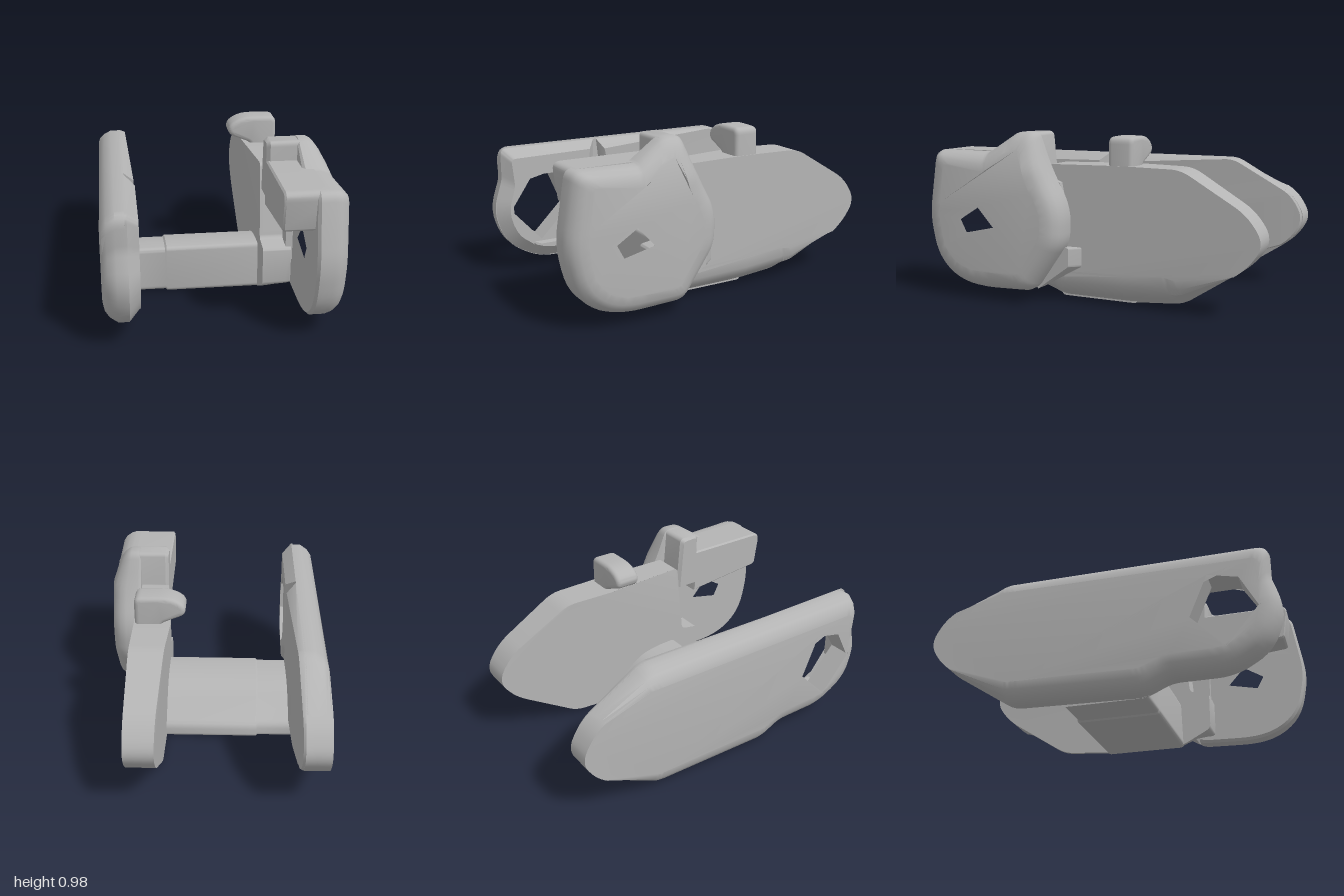
import * as THREE from 'three';
import { toCreasedNormals } from 'three/addons/utils/BufferGeometryUtils.js';

const clamp = THREE.MathUtils.clamp;

// Closed polygon of [a, b, radius] corners, rounded with curves
function roundedShape(points) {
  const shape = new THREE.Shape();
  const n = points.length;
  points.forEach(([a, b, r = 0], i) => {
    const p = new THREE.Vector2(a, b);
    const prev = new THREE.Vector2(...points[(i + n - 1) % n].slice(0, 2));
    const next = new THREE.Vector2(...points[(i + 1) % n].slice(0, 2));
    const cut = (q) => p.clone().lerp(q, Math.min(0.48, r / p.distanceTo(q)));
    const s = cut(prev), e = cut(next);
    if (i === 0) shape.moveTo(s.x, s.y); else shape.lineTo(s.x, s.y);
    if (r > 0) shape.quadraticCurveTo(p.x, p.y, e.x, e.y);
  });
  shape.closePath();
  return shape;
}

// Slab across x: outline in (z, y), layers of [x, inset] and an optional bending rule
function slab(outline, layers, { hole, bend, amount = () => 1 } = {}) {
  const flip = (pts) => pts.map(([z, y, r]) => [-z, y, r]);
  const shape = roundedShape(flip(outline));
  if (hole) shape.holes.push(new THREE.Path(hole.map(([z, y]) => new THREE.Vector2(-z, y))));
  const steps = layers.length - 1;
  const geo = new THREE.ExtrudeGeometry(shape, { depth: steps, steps, bevelEnabled: false, curveSegments: 6 });
  geo.rotateY(Math.PI / 2);

  const box = new THREE.Box2().setFromPoints(outline.map(([z, y]) => new THREE.Vector2(z, y)));
  const mid = box.getCenter(new THREE.Vector2());
  const size = box.getSize(new THREE.Vector2());
  const onHole = (z, y) => hole && hole.some(([a, b]) => Math.hypot(a - z, b - y) < 1e-4);
  const pos = geo.attributes.position;
  const v = new THREE.Vector3();
  for (let i = 0; i < pos.count; i++) {
    v.fromBufferAttribute(pos, i);
    const layer = Math.round(v.x);
    const [x, inset] = layers[layer];
    v.x = x;
    if (!onHole(v.z, v.y)) {
      const d = new THREE.Vector2((v.z - mid.x) / size.x ** 2, (v.y - mid.y) / size.y ** 2).normalize();
      const k = inset * amount(v.z, v.y);
      v.z -= d.x * k;
      v.y -= d.y * k;
    }
    if (bend) bend(v, layer);
    pos.setXYZ(i, v.x, v.y, v.z);
  }
  return toCreasedNormals(geo, 0.6);
}

export function createModel() {
  const model = new THREE.Group();
  const grey = new THREE.MeshStandardMaterial({ color: 0xb4b4b4 });
  grey.name = 'plain grey';
  const add = (name, geo) => {
    const mesh = new THREE.Mesh(geo, grey);
    mesh.name = name;
    model.add(mesh);
  };

  // Long side plate with its eye at the front
  const eye = [[0.61, 0.62], [0.78, 0.58], [0.89, 0.4], [0.7, 0.19], [0.51, 0.38]];
  add('longPlate', slab([
    [0.94, 0.79, 0.07], [0.94, 0.6, 0.03], [1.005, 0.4, 0.12], [0.92, 0.19, 0.1], [0.72, 0.075, 0.1],
    [0.38, 0.075, 0.05], [0.24, 0.01, 0.05], [-0.52, 0.03, 0.05], [-0.92, 0.29, 0.07],
    [-1.01, 0.43, 0.08], [-0.92, 0.58, 0.07], [-0.55, 0.79, 0.05],
  ], [[-0.64, 0.11], [-0.63, 0.065], [-0.605, 0.03], [-0.56, 0], [-0.5, 0]], {
    hole: eye, amount: (z) => clamp((z + 0.75) / 0.25, 0, 1),
  }));

  // Thickened inner face, swelling toward the bridge and bevelled below
  add('longPlatePad', slab([
    [0.31, 0.79], [0.27, 0.42, 0.1], [0.33, 0.06, 0.02], [0.24, 0.01, 0.03], [-0.52, 0.03, 0.05],
    [-0.92, 0.29, 0.07], [-1.005, 0.43, 0.08], [-0.92, 0.58, 0.07], [-0.55, 0.79, 0.05],
  ], [[-0.51, 0], [-0.5, 0], [-0.45, 0.1]], {
    amount: (z, y) => (y < 0.35 && z > -0.8 ? 1 : 0.1 + 0.55 * clamp((z + 0.4) / 0.7, 0, 1)),
    bend: (v, layer) => { if (layer === 2) v.x = -0.488 + 0.045 * clamp((v.z + 0.95) / 1.05, 0, 1); },
  }));

  // Bevelled ring around the eye, hollowed wider than the plate behind it
  const ringHole = [];
  for (let i = 0; i < 8; i++) {
    const t = (i + 0.5) * Math.PI / 4;
    ringHole.push([0.68 + 0.23 * Math.cos(t), 0.4 + 0.24 * Math.sin(t)]);
  }
  add('eyeRing', slab([
    [0.94, 0.79, 0.04], [0.94, 0.6, 0.03], [1.0, 0.4, 0.1], [0.92, 0.19, 0.1], [0.72, 0.08, 0.08],
    [0.45, 0.08, 0.04], [0.34, 0.25, 0.04], [0.33, 0.79],
  ], [[-0.51, 0], [-0.5, 0], [-0.44, 0.07]], { hole: ringHole }));

  // Bridge joining both sides, falling away toward the back
  add('bridge', slab([
    [0.24, 0.29, 0.03], [0.25, 0.005, 0.03], [-0.24, 0.005, 0.02], [-0.24, 0.085, 0.03],
    [-0.04, 0.26, 0.08], [0.1, 0.287, 0.05],
  ], [[-0.49, 0.01], [-0.27, 0.01], [-0.26, 0], [0.32, 0]]));

  // Pointed side plate: leaning inner face, outer face curving in along the bottom
  add('pointedPlate', slab([
    [0.26, 0.8, 0.03], [0.3, 0.35, 0.03], [0.42, 0.33, 0.02], [0.42, 0.1, 0.03], [0.24, 0.005, 0.04], [-0.2, 0.005],
    [-0.52, 0.03, 0.06], [-0.92, 0.29, 0.08], [-1.02, 0.43, 0.1], [-0.92, 0.58, 0.08],
    [-0.55, 0.8, 0.06], [-0.25, 0.805], [-0.1, 0.805],
  ], [[0.27, 0], [0.29, 0], [0.36, 0.04], [0.42, 0.075], [0.442, 0.12], [0.45, 0.18]], {
    amount: (z, y) => clamp((0.3 - y) / 0.2, 0, 1) * clamp((z + 0.75) / 0.25, 0, 1) * clamp((0.42 - z) / 0.15, 0, 1),
    bend: (v, layer) => {
      const along = Math.min(clamp((v.z + 1.05) / 0.8, 0, 1), clamp((0.15 - v.z) / 0.35, 0, 1));
      if (layer < 2) v.x += 0.015 - 0.045 * clamp((v.y - 0.33) / 0.45, 0, 1) * along;
    },
  }));

  // Rounded cheek with a peaked, sloping top and a small opening
  add('cheek', slab([
    [0.945, 0.87, 0.05], [0.585, 0.865, 0.02], [0.41, 0.985, 0.04], [0.3, 0.985, 0.04], [0.22, 0.78, 0.1],
    [0.1, 0.56, 0.1], [0.11, 0.36, 0.06], [0.31, 0.075, 0.05], [0.74, 0.06, 0.18],
    [0.95, 0.2, 0.15], [1.01, 0.48, 0.1],
  ], [[0.46, 0.015], [0.475, 0], [0.55, 0], [0.585, 0.012], [0.615, 0.035], [0.632, 0.065], [0.64, 0.11]], {
    hole: [[0.74, 0.475], [0.62, 0.55], [0.52, 0.44], [0.7, 0.4]],
    bend: (v) => {
      v.x -= 0.35 * (v.x - 0.46) * clamp((v.y - 0.78) / 0.18, 0, 1) * clamp((0.6 - v.z) / 0.15, 0, 1);
    },
  }));

  // Flange and finger turned inward from the cheek
  add('flange', slab([
    [0.94, 0.87, 0.05], [0.4, 0.87], [0.4, 0.6], [0.91, 0.65, 0.02],
  ], [[0.29, 0.01], [0.3, 0], [0.52, 0]]));
  add('finger', slab([
    [0.43, 0.98, 0.03], [0.3, 0.98, 0.03], [0.27, 0.65], [0.43, 0.65],
  ], [[0.29, 0.02], [0.31, 0], [0.5, 0]]));

  // Wedge and neck filling the gap between cheek and pointed plate
  add('wedge', slab([
    [0.4, 0.33], [0.05, 0.33, 0.01], [0.05, 0.22, 0.01], [0.31, 0.075],
  ], [[0.4, 0], [0.45, 0], [0.5, 0]], {
    bend: (v, layer) => { if (layer === 2 && v.z < 0.1) v.z += 0.06; },
  }));
  add('neck', slab([
    [0.4, 0.78], [0.17, 0.7], [0.13, 0.5], [0.15, 0.33], [0.4, 0.25],
  ], [[0.42, 0], [0.48, 0]]));

  // Hooked knob on the top edge
  const knob = new THREE.ExtrudeGeometry(roundedShape([
    [0.445, 0.69], [0.445, 0.965, 0.04], [0.24, 0.968, 0.07], [0.155, 0.92, 0.05], [0.155, 0.86, 0.035],
    [0.29, 0.805, 0.02], [0.29, 0.69],
  ]), { depth: 0.1, bevelThickness: 0.025, bevelSize: 0.025, bevelOffset: -0.025, bevelSegments: 4, curveSegments: 6 });
  knob.translate(0, 0, -0.24);
  add('knob', toCreasedNormals(knob, 0.6));

  return model;
}
